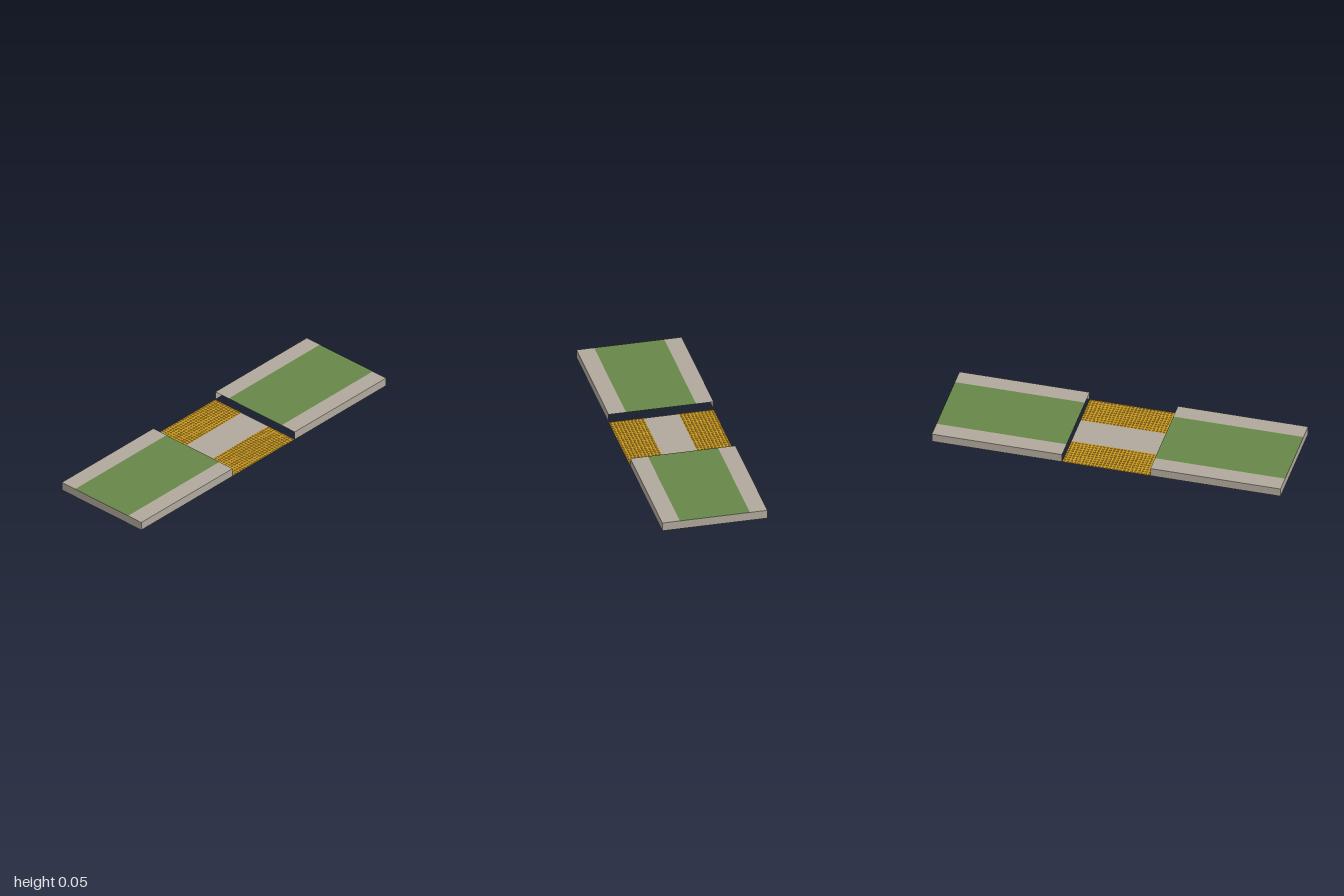
import * as THREE from 'three';

export function createModel() {
  const root = new THREE.Group();
  root.name = 'walkway';
  const mat = (name, color) => {
    const m = new THREE.MeshStandardMaterial({ color, side: THREE.DoubleSide });
    m.name = name;
    return m;
  };
  const stone = mat('stone', 0xb0a89c);
  const grass = mat('grass', 0x678648);
  const yellow = mat('tactileYellow', 0xcc9a20);

  const GAP = 0.253, END = 1, HALF = 0.3, H = 0.05, LAWN = 0.2;
  const LEN = END - GAP, MID = (END + GAP) / 2;

  const add = (parent, name, geo, material, x, y, z) => {
    const mesh = new THREE.Mesh(geo, material);
    mesh.name = name;
    mesh.position.set(x, y, z);
    parent.add(mesh);
    return mesh;
  };
  const flat = (w, d) => new THREE.PlaneGeometry(w, d).rotateX(-Math.PI / 2);

  // Two raised lawns: hollow shells, open below and at the inner end
  for (const s of [-1, 1]) {
    const lawn = new THREE.Group();
    lawn.name = s > 0 ? 'leftPlatform' : 'rightPlatform';
    add(lawn, 'grassTop', flat(LEN, LAWN * 2), grass, s * MID, H, 0);
    for (const f of [-1, 1]) {
      add(lawn, 'kerbTop', flat(LEN, HALF - LAWN), stone, s * MID, H, f * (HALF + LAWN) / 2);
      const wall = new THREE.PlaneGeometry(LEN, H).rotateY(f > 0 ? 0 : Math.PI);
      add(lawn, 'kerbSide', wall, stone, s * MID, H / 2, f * HALF);
    }
    const end = new THREE.PlaneGeometry(HALF * 2, H).rotateY(s * Math.PI / 2);
    add(lawn, 'endWall', end, stone, s * END, H / 2, 0);
    root.add(lawn);
  }

  // Sunken path between the lawns
  add(root, 'pathFloor', flat(GAP * 2, HALF * 2), stone, 0, 0, 0);

  // Tactile strips with rows of small studs
  const COLS = 25, ROWS = 10, DEPTH = 0.2, T = 0.001;
  const stud = new THREE.CylinderGeometry(0.004, 0.006, 0.002, 8);
  for (const f of [-1, 1]) {
    const z0 = f * (HALF - DEPTH / 2);
    add(root, 'tactileStrip', flat(GAP * 2, DEPTH), yellow, 0, T, z0);
    const studs = new THREE.Group();
    studs.name = 'tactileStuds';
    for (let i = 0; i < COLS; i++) {
      for (let j = 0; j < ROWS; j++) {
        const x = ((i + 0.5) / COLS - 0.5) * GAP * 2;
        const z = z0 + ((j + 0.5) / ROWS - 0.5) * DEPTH;
        add(studs, 'stud', stud, yellow, x, T + 0.001, z);
      }
    }
    root.add(studs);
  }
  return root;
}
